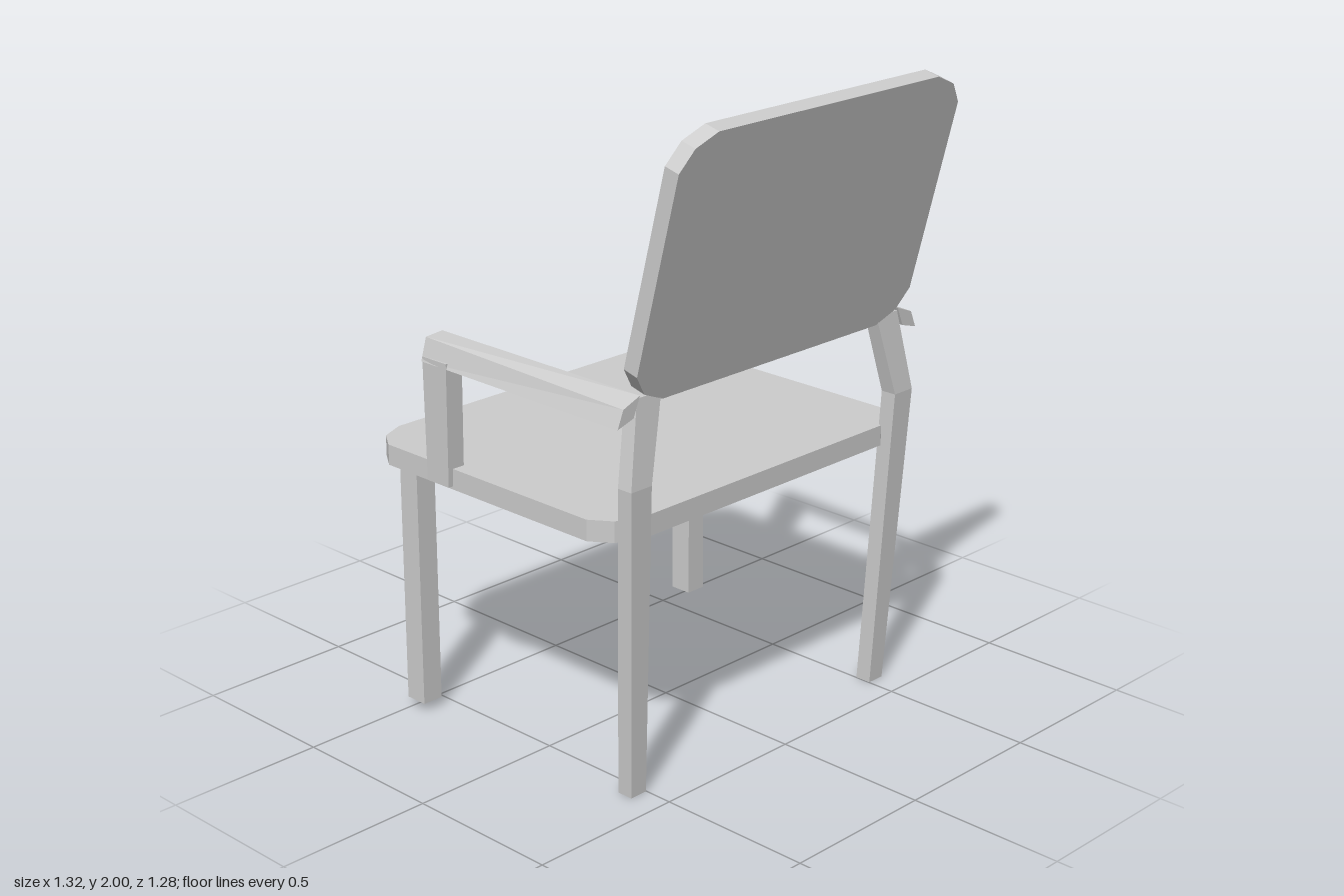
import * as THREE from 'three';

const material = new THREE.MeshStandardMaterial({ color: 0xcccccc, flatShading: true });

function addMesh(parent, geometry, name) {
  const mesh = new THREE.Mesh(geometry, material);
  mesh.name = name;
  parent.add(mesh);
  return mesh;
}

// Flat slab with two-step chamfered corners, centred on the origin, thickness along z
function slab(w, h, depth) {
  const quarter = [[w, h - 0.1], [w - 0.045, h - 0.035], [w - 0.125, h]];
  const back = [...quarter].reverse();
  const outline = [
    ...quarter,
    ...back.map(([x, y]) => [-x, y]),
    ...quarter.map(([x, y]) => [-x, -y]),
    ...back.map(([x, y]) => [x, -y]),
  ].map(([x, y]) => new THREE.Vector2(x, y));
  const geometry = new THREE.ExtrudeGeometry(new THREE.Shape(outline), { depth, bevelEnabled: false });
  return geometry.translate(0, 0, -depth / 2);
}

// Closed four-sided beam through a list of quad sections; side = -1 mirrors it in x
function beam(sections, side) {
  const positions = [];
  const quad = (a, b, c, d) => {
    const corners = side > 0 ? [a, b, c, a, c, d] : [a, c, b, a, d, c];
    for (const [x, y, z] of corners) positions.push(x * side, y, z);
  };
  for (let i = 0; i < sections.length - 1; i++) {
    const p = sections[i], q = sections[i + 1];
    for (let k = 0; k < 4; k++) {
      const n = (k + 1) % 4;
      quad(p[k], p[n], q[n], q[k]);
    }
  }
  quad(...[...sections[0]].reverse());
  quad(...sections[sections.length - 1]);
  const geometry = new THREE.BufferGeometry();
  geometry.setAttribute('position', new THREE.Float32BufferAttribute(positions, 3));
  geometry.computeVertexNormals();
  return geometry;
}

// Horizontal section, counter-clockwise seen from above
const level = (y, x0, x1, z0, z1) => [[x0, y, z1], [x1, y, z1], [x1, y, z0], [x0, y, z0]];

// Upright section across the arm, counter-clockwise seen from +z
const upright = (z, corners) => corners.map(([x, y]) => [x, y, z]);

export function createModel() {
  const chair = new THREE.Group();
  chair.name = 'armchair';

  const seat = addMesh(chair, slab(0.64, 0.525, 0.065).rotateX(-Math.PI / 2), 'seat');
  seat.position.set(0.005, 0.8275, -0.115);

  // Reclined back panel
  const backrest = addMesh(chair, slab(0.58, 0.4065, 0.052), 'backrest');
  backrest.rotation.x = 0.256;
  backrest.position.set(0, 1.6, 0.508);

  for (const side of [1, -1]) {
    const label = side > 0 ? 'left' : 'right';

    const frontLeg = addMesh(chair, new THREE.BoxGeometry(0.07, 0.78, 0.075), label + 'FrontLeg');
    frontLeg.position.set(0.005 + side * 0.5875, 0.42, -0.4725);

    // Rear leg leans out, then bends inward to the back panel
    addMesh(chair, beam([
      level(0, 0.502, 0.562, 0.355, 0.408),
      level(0.97, 0.525, 0.605, 0.405, 0.457),
      level(1.225, 0.46, 0.555, 0.383, 0.43),
    ], side), label + 'RearLeg');

    // Armrest, rolled slightly outward towards the rear
    addMesh(chair, beam([
      upright(-0.345, [[0.6, 1.175], [0.66, 1.175], [0.64, 1.245], [0.577, 1.25]]),
      upright(0.437, [[0.575, 1.175], [0.636, 1.157], [0.614, 1.21], [0.55, 1.235]]),
    ], side), label + 'Armrest');

    addMesh(chair, beam([
      level(0.805, 0.592, 0.652, -0.343, -0.25),
      level(1.19, 0.597, 0.658, -0.343, -0.24),
    ], side), label + 'ArmPost');
  }
  return chair;
}
